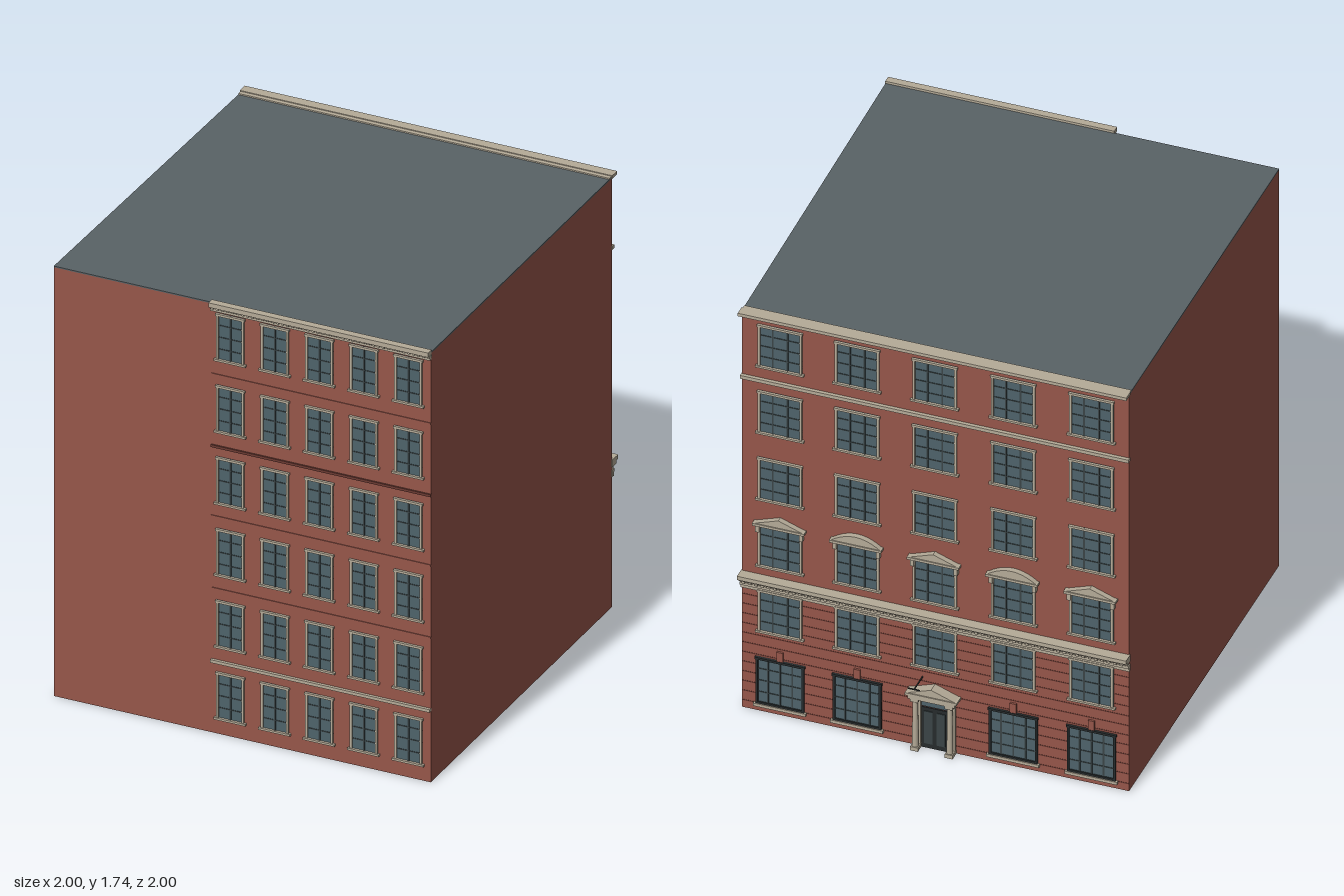
import * as THREE from 'three';

const mat = (color) => new THREE.MeshStandardMaterial({ color });
const brick = mat(0x96564a), darkBrick = mat(0x6b3a32), slate = mat(0x596266);
const stone = mat(0xb5ab98), glass = mat(0x4e636b), sash = mat(0x3a4446), iron = mat(0x262b2c);

function add(parent, name, geometry, material, x = 0, y = 0, z = 0) {
  const mesh = new THREE.Mesh(geometry, material);
  mesh.name = name;
  mesh.position.set(x, y, z);
  parent.add(mesh);
  return mesh;
}

// Box standing on y0, reaching out from the wall plane (z = 0) to depth d.
function block(parent, name, material, x0, x1, y0, y1, d) {
  return add(parent, name, new THREE.BoxGeometry(x1 - x0, y1 - y0, d + 0.004), material,
    (x0 + x1) / 2, (y0 + y1) / 2, d / 2 - 0.002);
}

function group(parent, name, x = 0, y = 0) {
  const g = new THREE.Group();
  g.name = name;
  g.position.set(x, y, 0);
  parent.add(g);
  return g;
}

// Glazed window, centred on x with its lower edge at y.
function addWindow(parent, x, y, w, h, cols, rows, frame = stone, sill = true) {
  const g = group(parent, 'window', x, y);
  const a = w / 2, t = 0.009;
  block(g, 'pane', glass, -a, a, 0, h, 0.002);
  for (const s of [-1, 1]) {
    block(g, 'jamb', frame, s * (a - t / 2) - t / 2, s * (a - t / 2) + t / 2, 0, h, 0.008);
  }
  block(g, 'head', frame, -a - 0.003, a + 0.003, h - t, h, 0.01);
  block(g, 'sill', frame, -a - (sill ? 0.008 : 0), a + (sill ? 0.008 : 0), 0, 0.008, sill ? 0.012 : 0.008);
  for (let i = 1; i < cols; i++) {
    const bx = -a + (w * i) / cols;
    block(g, 'mullion', sash, bx - 0.003, bx + 0.003, 0, h, 0.005);
  }
  for (let i = 1; i < rows; i++) {
    const by = (h * i) / rows;
    block(g, 'glazingBar', sash, -a, a, by - 0.002, by + 0.002, 0.004);
  }
  return g;
}

// Triangular or curved pediment on a ledge.
function addPediment(parent, x, y, w, h, d, curved) {
  const g = group(parent, 'pediment', x, y);
  const s = new THREE.Shape();
  s.moveTo(-w / 2, 0.008);
  s.lineTo(w / 2, 0.008);
  if (curved) s.quadraticCurveTo(0, h * 1.9, -w / 2, 0.008);
  else s.lineTo(0, h);
  const geo = new THREE.ExtrudeGeometry(s, { depth: d, bevelEnabled: false, curveSegments: 10 });
  add(g, 'gable', geo, stone);
  block(g, 'ledge', stone, -w / 2 - 0.004, w / 2 + 0.004, 0, 0.01, d + 0.004);
}

function addDentils(parent, x0, x1, y, size, d, step) {
  const g = group(parent, 'dentils');
  for (let x = x0 + step / 2; x < x1; x += step) {
    block(g, 'dentil', stone, x - size / 2, x + size / 2, y, y + size, d);
  }
}

// Footprint extruded between two heights; corners are [x, z].
function slab(parent, name, material, corners, y, h) {
  const s = new THREE.Shape(corners.map(([x, z]) => new THREE.Vector2(x, -z)));
  const geo = new THREE.ExtrudeGeometry(s, { depth: h, bevelEnabled: false });
  geo.rotateX(-Math.PI / 2);
  add(parent, name, geo, material, 0, y, 0);
}

function buildCourtSide(parent) {
  const g = group(parent, 'courtFacade');
  g.position.z = 0.763;
  const x0 = -0.13, x1 = 0.743;
  for (let r = 0; r < 6; r++) {
    for (let c = 0; c < 5; c++) addWindow(g, -0.053 + c * 0.177, 0.06 + r * 0.288, 0.11, 0.19, 2, 4);
  }
  // Floor bands
  block(g, 'lowerBand', stone, x0, x1, 0.285, 0.297, 0.012);
  block(g, 'upperBand', darkBrick, x0, x1, 1.148, 1.158, 0.006);
  for (const y of [0.58, 0.87, 1.44]) block(g, 'floorBand', brick, x0, x1, y - 0.004, y + 0.004, 0.003);
  // Eaves cornice
  block(g, 'corniceTop', stone, x0, x1, 1.718, 1.736, 0.025);
  block(g, 'corniceBase', stone, x0, x1, 1.698, 1.708, 0.01);
  addDentils(g, x0, x1, 1.708, 0.01, 0.016, 0.02);
}

function buildStreetSide(parent) {
  const g = group(parent, 'streetFacade');
  g.position.z = -0.735;
  g.rotation.y = Math.PI;
  const x0 = -0.72, x1 = 0.755;
  const columns = [-0.574, -0.28, 0.016, 0.315, 0.613];

  // Rusticated courses on the two lower storeys
  for (let y = 0.03; y < 0.52; y += 0.042) {
    block(g, 'rusticationJoint', darkBrick, x0, x1, y, y + 0.004, 0.001);
  }

  columns.forEach((x, i) => {
    // Upper storeys
    for (const y of [0.345, 0.63, 0.92, 1.21, 1.498]) addWindow(g, x, y, 0.168, 0.185, 3, 4);
    addPediment(g, x, 0.817, 0.19, 0.042, 0.022, i % 2 === 1);
    for (const s of [-1, 1]) {
      const bx = x + s * 0.083;
      block(g, 'bracket', stone, bx - 0.007, bx + 0.007, 0.785, 0.818, 0.016);
    }
    // Ground floor
    if (i !== 2) {
      addWindow(g, x, 0.035, 0.185, 0.2, 4, 4, iron, false);
      block(g, 'keystone', brick, x - 0.012, x + 0.012, 0.235, 0.275, 0.008);
      block(g, 'windowSill', stone, x - 0.1, x + 0.1, 0.023, 0.035, 0.012);
    }
  });

  // Entrance
  const d = group(g, 'entrance', columns[2]);
  block(d, 'doorLeaf', iron, -0.05, 0.05, 0, 0.175, 0.004);
  block(d, 'fanlight', glass, -0.05, 0.05, 0.18, 0.215, 0.005);
  for (const s of [-1, 1]) {
    block(d, 'doorPanel', sash, s * 0.024 - 0.016, s * 0.024 + 0.016, 0.02, 0.16, 0.007);
    block(d, 'pilaster', stone, s * 0.066 - 0.014, s * 0.066 + 0.014, 0, 0.225, 0.012);
    add(d, 'column', new THREE.CylinderGeometry(0.01, 0.012, 0.2, 12), stone, s * 0.066, 0.115, 0.026);
    block(d, 'columnBase', stone, s * 0.066 - 0.015, s * 0.066 + 0.015, 0, 0.016, 0.04);
    block(d, 'capital', stone, s * 0.066 - 0.015, s * 0.066 + 0.015, 0.212, 0.225, 0.04);
  }
  block(d, 'entablature', stone, -0.09, 0.09, 0.225, 0.24, 0.042);
  addPediment(d, 0, 0.24, 0.19, 0.042, 0.042, false);
  // Small lamp arm above the entrance
  block(d, 'lampArm', iron, -0.05, -0.046, 0.3, 0.304, 0.085);
  add(d, 'lampBar', new THREE.BoxGeometry(0.045, 0.004, 0.004), iron, -0.048, 0.302, 0.085);

  // Main cornice: stepped mouldings with dentils
  [[0.525, 0.54, 0.008], [0.54, 0.552, 0.014], [0.565, 0.578, 0.028], [0.578, 0.594, 0.042]]
    .forEach(([a, b, depth]) => block(g, 'mainCornice', stone, x0 - 0.004, x1 + 0.004, a, b, depth));
  block(g, 'dentilBed', stone, x0, x1, 0.552, 0.565, 0.012);
  addDentils(g, x0, x1, 0.553, 0.012, 0.022, 0.024);

  // Upper string course and roof-edge coping
  block(g, 'stringCourse', stone, x0 - 0.003, x1 + 0.003, 1.436, 1.45, 0.014);
  block(g, 'coping', stone, x0 - 0.003, x1 + 0.003, 1.722, 1.735, 0.036);
  const rear = block(g, 'copingBack', stone, x0, x1, 1.722, 1.732, 0.022);
  rear.position.z = -0.009;
}

export function createModel() {
  const root = new THREE.Group();
  root.name = 'apartmentBuilding';
  const building = group(root, 'building');
  building.rotation.y = THREE.MathUtils.degToRad(23.5);

  // Slightly tapered footprint
  const corners = [[-0.757, 0.763], [0.742, 0.763], [0.72, -0.735], [-0.755, -0.735]];
  slab(building, 'walls', brick, corners, 0, 1.722);
  slab(building, 'roof', slate, corners, 1.722, 0.005);

  buildCourtSide(building);
  buildStreetSide(building);
  return root;
}
